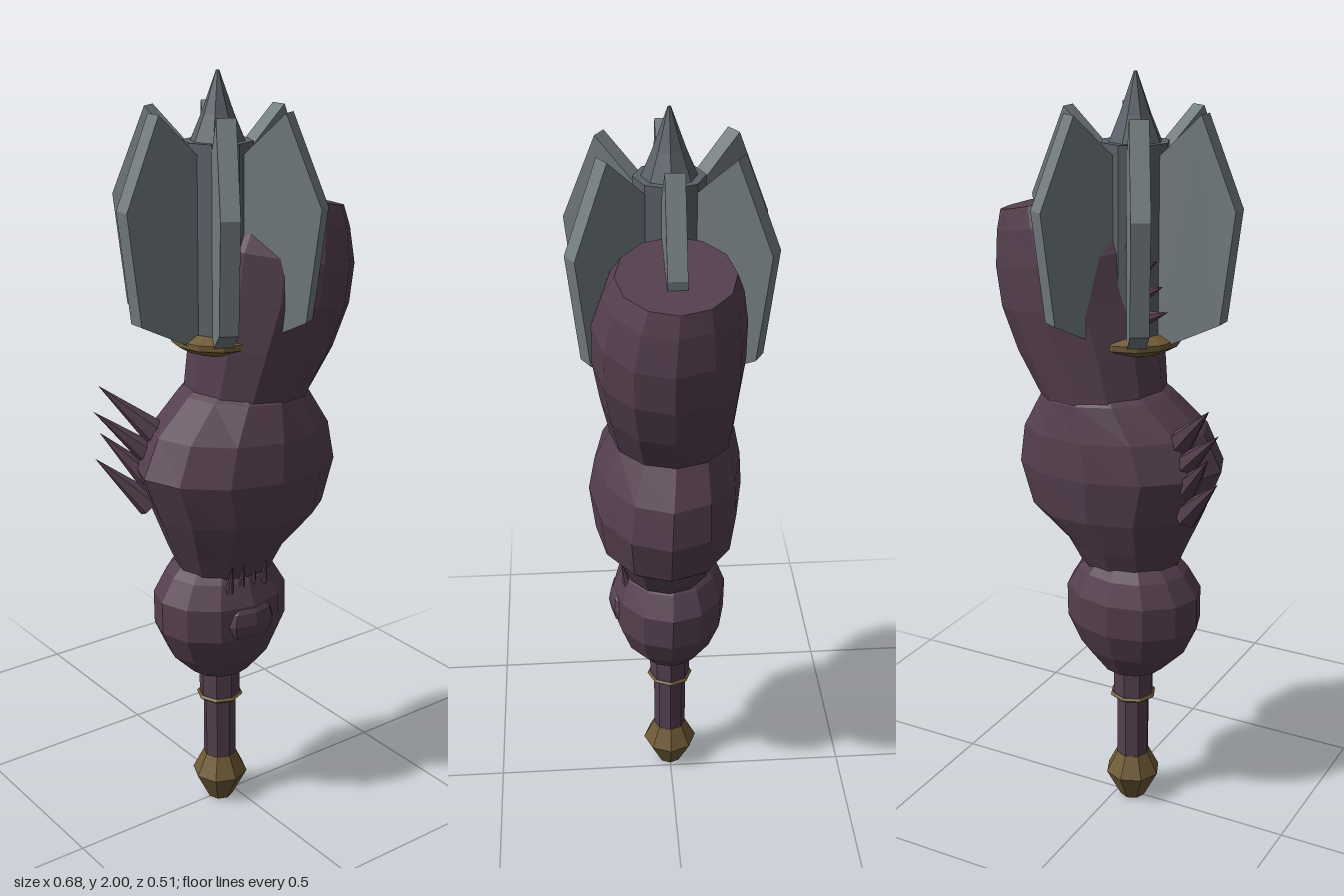
import * as THREE from 'three';

const AXIS = -0.045; // x of the mace shaft

const mat = (name, color) => {
  const m = new THREE.MeshStandardMaterial({ color });
  m.name = name;
  return m;
};

// Faceted normals for the low-poly look
function faceted(geo) {
  const g = geo.index ? geo.toNonIndexed() : geo;
  g.computeVertexNormals();
  return g;
}

// Closed loft through elliptical rings: [cx, y, cz, rx, rz, slope]
function loft(rings, n) {
  const pos = [], idx = [];
  for (const [cx, y, cz, rx, rz, slope = 0] of rings) {
    for (let i = 0; i < n; i++) {
      const a = (i / n) * Math.PI * 2;
      const dx = Math.cos(a) * rx;
      pos.push(cx + dx, y + dx * slope, cz + Math.sin(a) * rz);
    }
  }
  const last = (rings.length - 1) * n;
  const bottom = pos.length / 3, top = bottom + 1;
  for (const r of [rings[0], rings[rings.length - 1]]) pos.push(r[0], r[1], r[2]);
  for (let i = 0; i < n; i++) {
    const j = (i + 1) % n;
    for (let k = 0; k < last; k += n) {
      idx.push(k + i, k + n + i, k + n + j, k + i, k + n + j, k + j);
    }
    idx.push(bottom, i, j, top, last + j, last + i);
  }
  const g = new THREE.BufferGeometry();
  g.setAttribute('position', new THREE.Float32BufferAttribute(pos, 3));
  g.setIndex(idx);
  return faceted(g);
}

// Round part on the shaft axis from [radius, y] pairs
const turned = (profile, n) => loft(profile.map(([r, y]) => [AXIS, y, 0, r, r]), n);

export function createModel() {
  const group = new THREE.Group();
  const flesh = mat('purple flesh', 0x553f4f);
  const steel = mat('grey steel', 0x737d80);
  const darkSteel = mat('dark steel', 0x5a6168);
  const brass = mat('aged brass', 0x6f5a36);

  const add = (name, geo, material) => {
    const m = new THREE.Mesh(geo, material);
    m.name = name;
    group.add(m);
    return m;
  };

  // Thorn between two points
  const thorn = (name, from, to, radius) => {
    const a = new THREE.Vector3(...from), b = new THREE.Vector3(...to);
    const dir = b.clone().sub(a);
    const m = add(name, faceted(new THREE.ConeGeometry(radius, dir.length(), 6)), flesh);
    m.position.copy(a).addScaledVector(dir, 0.5);
    m.quaternion.setFromUnitVectors(new THREE.Vector3(0, 1, 0), dir.normalize());
  };

  // Handle
  add('pommel', turned([[0.035, 0], [0.076, 0.08], [0.046, 0.14]], 8), brass);
  add('grip', turned([[0.045, 0.13], [0.045, 0.33]], 8), flesh);
  add('collar', turned([[0.056, 0.325], [0.056, 0.44]], 8), flesh);
  for (const y of [0.325, 0.415]) {
    add('collarRing', turned([[0.058, y - 0.006], [0.064, y], [0.058, y + 0.006]], 8), brass);
  }

  // Swollen flesh growing around the shaft
  add('lowerBulge', loft([
    [AXIS, 0.415, 0, 0.085, 0.08], [AXIS, 0.48, 0.004, 0.15, 0.125],
    [AXIS, 0.56, 0.004, 0.187, 0.155], [AXIS, 0.65, 0.002, 0.187, 0.155],
    [AXIS, 0.71, 0, 0.15, 0.13], [AXIS, 0.75, 0, 0.11, 0.1],
  ], 12), flesh);
  add('middleBulge', loft([
    [-0.03, 0.72, 0.01, 0.135, 0.115], [-0.025, 0.79, 0.01, 0.17, 0.145],
    [0.005, 0.88, 0.015, 0.245, 0.185, -0.05], [0, 1.0, 0.015, 0.288, 0.2, -0.05],
    [0.015, 1.1, 0.01, 0.255, 0.188, -0.05], [0.035, 1.19, 0, 0.175, 0.16, -0.05],
    [0.035, 1.23, 0, 0.13, 0.12],
  ], 12), flesh);
  add('upperBulge', loft([
    [0.04, 1.18, 0, 0.165, 0.155, -0.05], [0.085, 1.31, 0.008, 0.195, 0.172, -0.12],
    [0.12, 1.43, 0.012, 0.205, 0.186, -0.16], [0.135, 1.54, 0.012, 0.205, 0.186, -0.2],
    [0.16, 1.63, 0.005, 0.172, 0.165, -0.22], [0.177, 1.68, 0, 0.143, 0.142, -0.23],
  ], 12), flesh);

  // Swelling and small teeth on the front of the lower bulge
  const lump = add('frontSwelling', faceted(new THREE.SphereGeometry(1, 8, 6)), flesh);
  lump.scale.set(0.085, 0.065, 0.045);
  lump.position.set(AXIS, 0.6, 0.125);
  for (let i = 0; i < 4; i++) {
    const x = -0.1 + i * 0.037;
    thorn('tooth', [x, 0.69, 0.12], [x, 0.77, 0.135], 0.012);
  }

  // Thorns on the right rear of the two larger bulges
  for (let i = 0; i < 4; i++) {
    const y = 0.91 + i * 0.063, s = i % 2;
    thorn('middleThorn', [-0.225 + i * 0.008, y, -0.055],
      [-0.342 + s * 0.022, y + 0.13, -0.13 - s * 0.01], 0.036);
    const v = 1.4 + i * 0.06;
    thorn('upperThorn', [-0.07, v, -0.055], [-0.207 + i * 0.015, v + 0.06, -0.14], 0.03);
  }

  // Mace head
  add('shaftCore', turned([[0.045, 0.43], [0.045, 1.35]], 8), flesh);
  add('headRing', turned([[0.085, 1.315], [0.12, 1.335], [0.12, 1.35], [0.09, 1.365]], 12), brass);
  add('headCore', turned([[0.088, 1.35], [0.088, 1.835]], 8), darkSteel);
  add('headSpike', turned([[0.07, 1.83], [0.04, 1.9], [0.004, 2.0]], 8), darkSteel);

  // Six flanges around the core
  const outline = new THREE.Shape([
    [0.06, 1.35], [0.115, 1.345], [0.245, 1.41], [0.28, 1.69], [0.186, 1.91], [0.08, 1.81], [0.06, 1.81],
  ].map(([r, y]) => new THREE.Vector2(r, y)));
  const flangeGeo = new THREE.ExtrudeGeometry(outline, { depth: 0.047, bevelEnabled: false });
  flangeGeo.translate(0, 0, -0.0235);
  for (let i = 0; i < 6; i++) {
    const f = add('flange', flangeGeo, steel);
    f.position.x = AXIS;
    f.rotation.y = (i * Math.PI) / 3;
  }
  return group;
}
